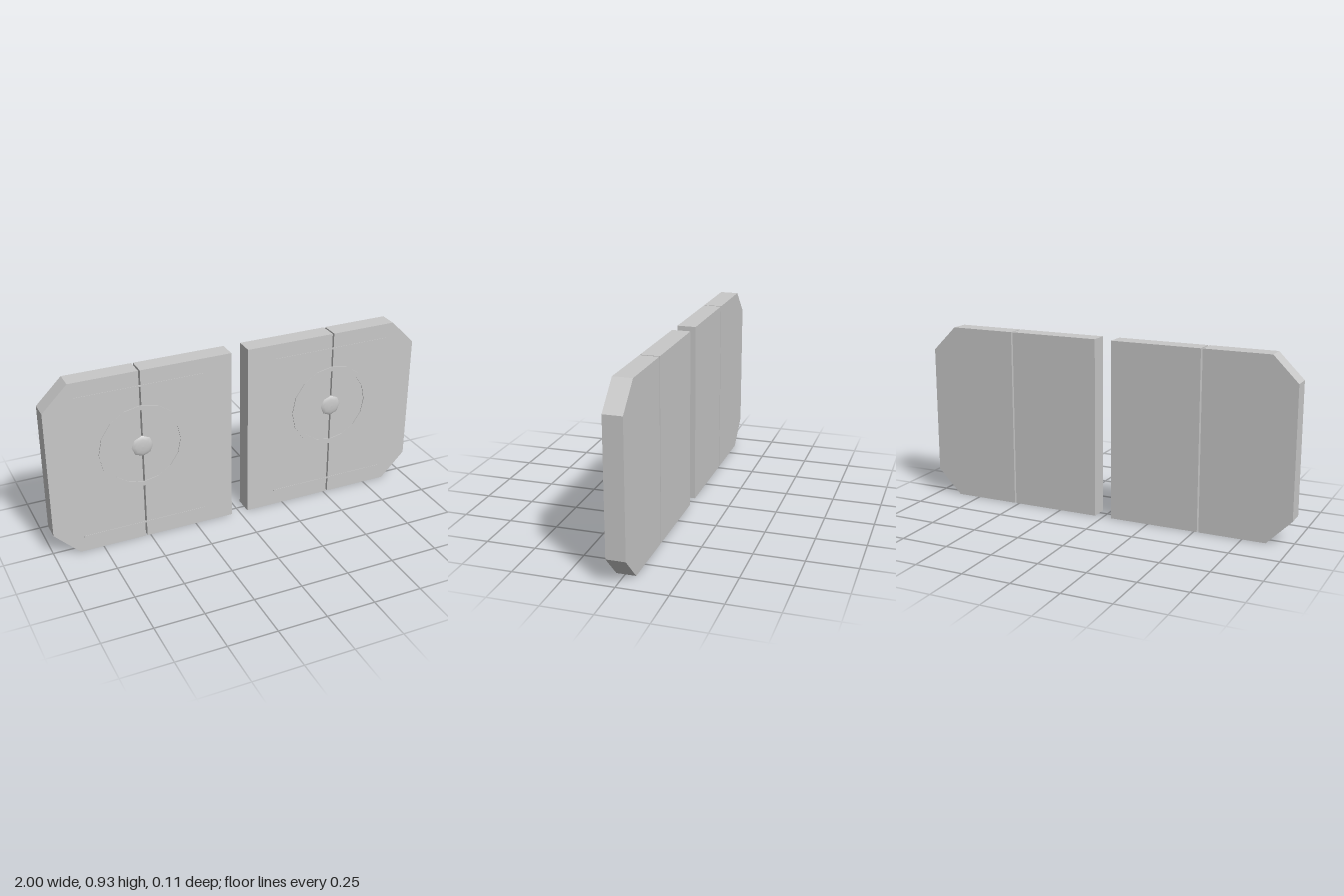
import * as THREE from 'three';

const BACK = -0.053, FRONT = 0.042, MID_X = 0.521, HUB_Y = 0.523, HEIGHT = 0.928, SLIT = 0.0045;

// Flat plate from an outline, running from the back face to the front face
function plate(points, material, name) {
  const shape = new THREE.Shape(points.map(([x, y]) => new THREE.Vector2(x, y)));
  const geo = new THREE.ExtrudeGeometry(shape, { depth: FRONT - BACK, bevelEnabled: false });
  const mesh = new THREE.Mesh(geo.translate(0, 0, BACK), material);
  mesh.name = name;
  return mesh;
}

// Flat ring with square edges, lying on the front face
function flatRing(outer, inner, sides, height) {
  const circle = (r) => Array.from({ length: sides }, (_, i) => {
    const a = (i / sides) * Math.PI * 2;
    return new THREE.Vector2(r * Math.cos(a), r * Math.sin(a));
  });
  const shape = new THREE.Shape(circle(outer));
  shape.holes.push(new THREE.Path(circle(inner)));
  return new THREE.ExtrudeGeometry(shape, { depth: height, bevelEnabled: false });
}

export function createModel() {
  const model = new THREE.Group();
  model.name = 'doublePanel';
  const grey = new THREE.MeshStandardMaterial({ color: 0xc8c8c8 });
  grey.name = 'lightGrey';

  // Shallow domed knob, as [radius, height above the face]
  const dome = [[0.057, -0.001], [0.05, 0.0045], [0.038, 0.0085], [0.02, 0.0108], [0, 0.0115]];
  const knobGeo = new THREE.LatheGeometry(dome.map(([r, h]) => new THREE.Vector2(r, h)), 8).rotateX(Math.PI / 2);
  const ringGeo = flatRing(0.223, 0.199, 16, 0.004);
  const rodGeo = new THREE.BoxGeometry(0.648, 0.008, 0.006);

  for (const side of [-1, 1]) {
    const panel = new THREE.Group();
    panel.name = side < 0 ? 'rightPanel' : 'leftPanel';
    const flip = (pts) => pts.map(([x, y]) => [x * side, y]);

    // Two leaves with a narrow slit between them
    const slitIn = MID_X - SLIT, slitOut = MID_X + SLIT;
    panel.add(plate(flip([[0.045, 0], [slitIn, 0], [slitIn, HEIGHT], [0.045, HEIGHT]]), grey, 'innerLeaf'));
    panel.add(plate(flip([[slitOut, 0], [0.871, 0], [1, 0.13], [1, 0.8], [0.871, HEIGHT], [slitOut, HEIGHT]]), grey, 'outerLeaf'));

    // Raised trim: ring, central knob, and thin rods near the top and bottom
    const trim = [
      ['ring', ringGeo, HUB_Y, FRONT],
      ['knob', knobGeo, HUB_Y, FRONT],
      ['lowerRod', rodGeo, 0.083, FRONT - 0.001],
      ['upperRod', rodGeo, 0.847, FRONT - 0.001],
    ];
    for (const [name, geo, y, z] of trim) {
      const mesh = new THREE.Mesh(geo, grey);
      mesh.position.set(side * MID_X, y, z);
      mesh.name = name;
      panel.add(mesh);
    }
    model.add(panel);
  }
  return model;
}
